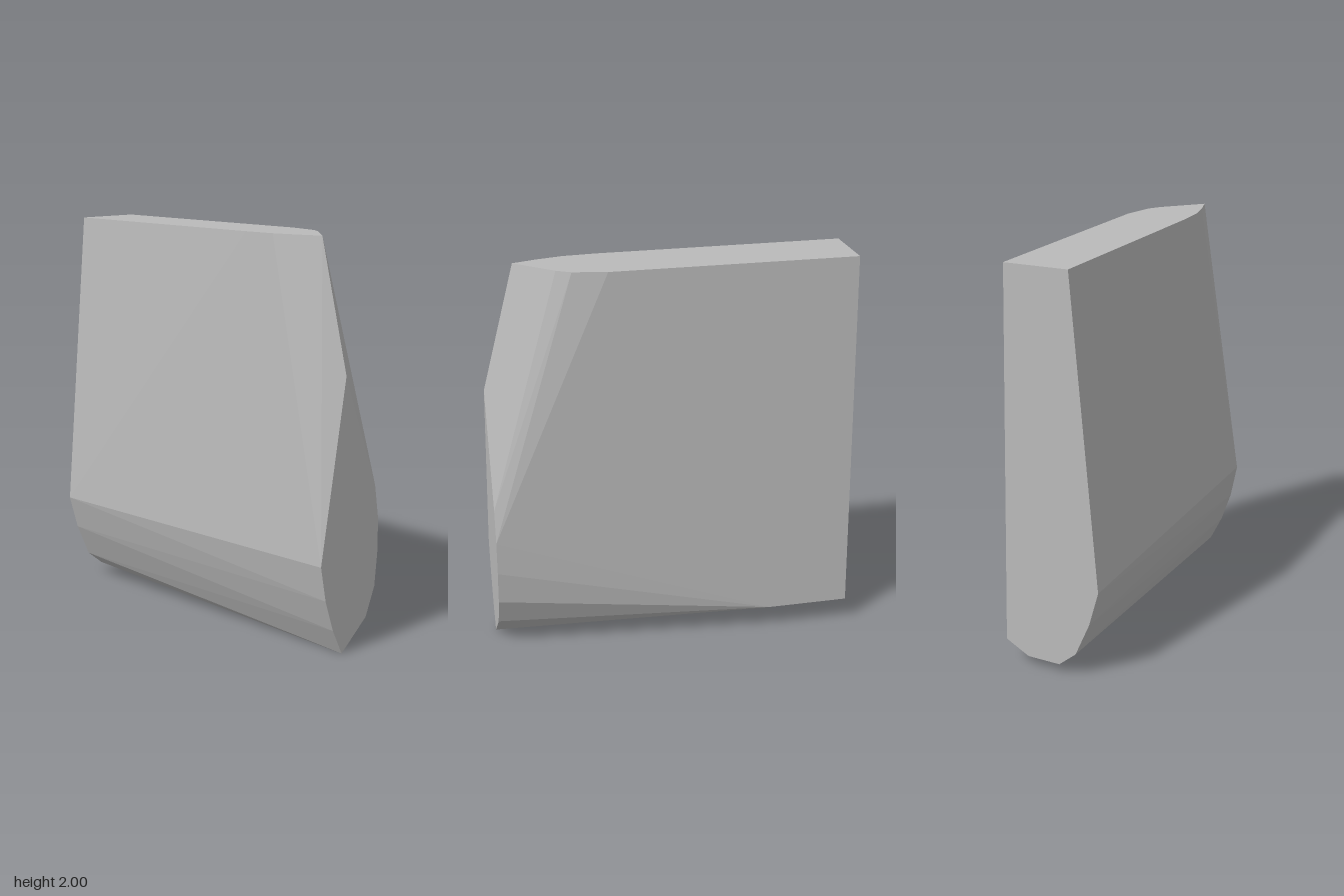
import * as THREE from 'three';
import { ConvexGeometry } from 'three/addons/geometries/ConvexGeometry.js';

export function createModel() {
  const stone = new THREE.MeshStandardMaterial({ color: 0xbababa });
  stone.name = 'stone grey';

  // Outline of the front facet, [x, y] at z = 0.92
  const front = [
    [-0.04, 0], [0.13, 0.145], [0.19, 0.29], [0.207, 0.46], [0.207, 0.63],
    [0.18, 0.8], [-0.04, 1.36], [-0.195, 0.465], [-0.16, 0.29], [-0.105, 0.13],
  ].map(([x, y]) => new THREE.Vector3(x, y, 0.92));

  // Outline of the back face, [x, y] at z = -0.92
  const back = [
    [-0.04, 0.047], [0.13, 0.052], [0.25, 0.12], [0.21, 2], [-0.12, 2],
    [-0.255, 0.465], [-0.205, 0.29], [-0.13, 0.12],
  ].map(([x, y]) => new THREE.Vector3(x, y, -0.92));

  // Curved nose of the flat top, [x, z] at y = 2
  const top = [
    [-0.12, 0.33], [-0.11, 0.5], [-0.08, 0.63], [-0.04, 0.755],
    [0.13, 0.57], [0.172, 0.5], [0.206, 0.33],
  ].map(([x, z]) => new THREE.Vector3(x, 2, z));

  // Point where the lower side bevel runs out
  const bevelEnd = new THREE.Vector3(0.25, 0.12, -0.5);

  // Faceted solid spanned by the three outlines
  const slab = new THREE.Mesh(new ConvexGeometry([...front, ...back, ...top, bevelEnd]), stone);
  slab.name = 'facetedSlab';

  const model = new THREE.Group();
  model.name = 'stoneSlab';
  model.add(slab);
  return model;
}
